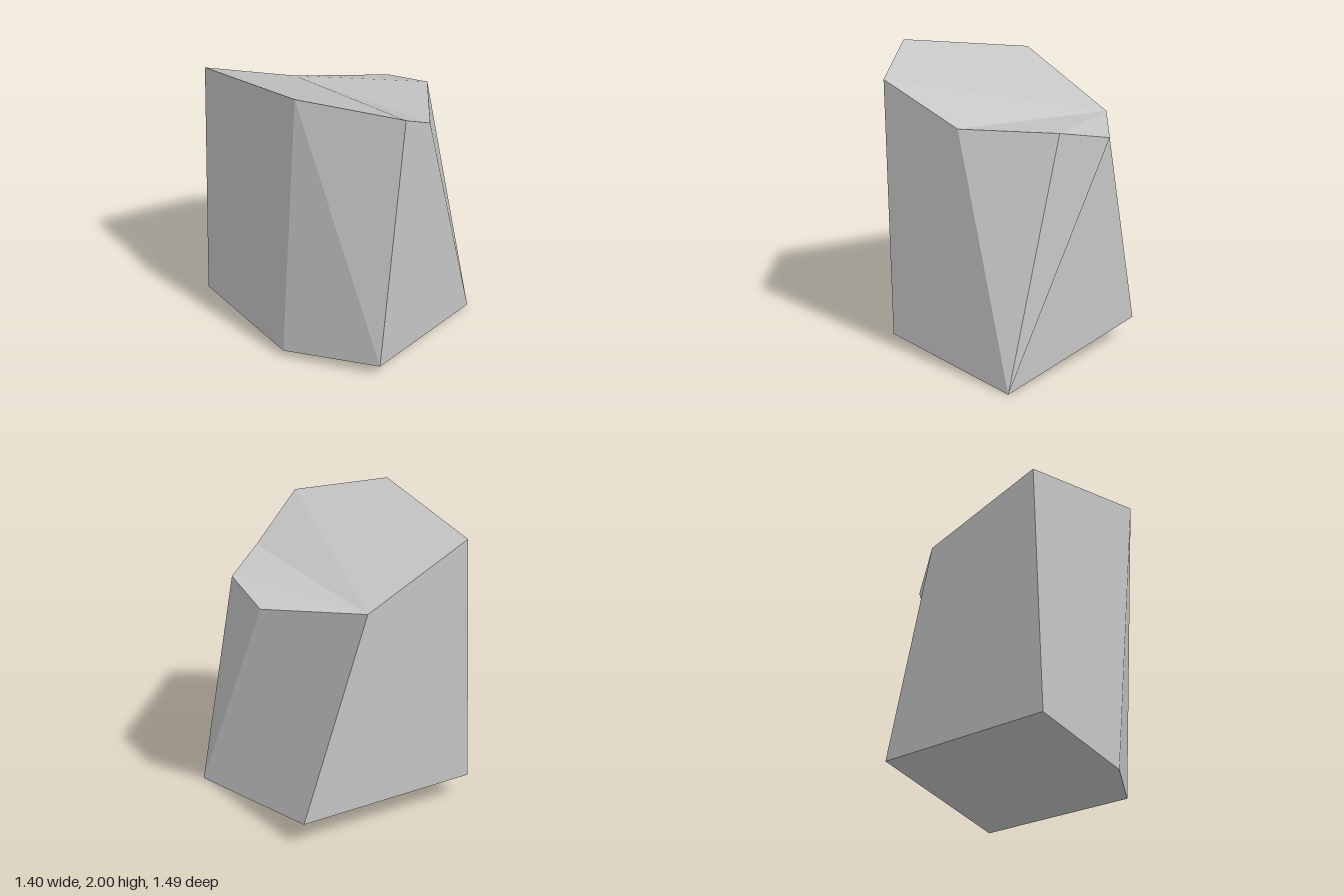
import * as THREE from 'three';

// Corners of the shard: a slanted seven-sided top ring and a five-sided base ring
const corners = {
  A: [-0.70, 2.00, 0.26], B: [-0.275, 1.88, 0.745], C: [0.19, 1.62, 0.54], D: [0.65, 1.61, 0.12],
  E: [0.70, 1.52, -0.27], F: [0.235, 1.52, -0.725], G: [-0.55, 1.84, -0.725],
  P: [-0.37, 0.09, 0.66], Q: [0.665, 0.00, 0.55], R: [0.635, 0.17, -0.615],
  S: [-0.625, 0.175, -0.745], T: [-0.66, 0.055, 0.05],
};

// Flat facets, each listed counter-clockwise from outside
const parts = {
  rockTop: ['GABF', 'FBC', 'FCD', 'FDE'],
  rockSides: ['TPA', 'PBA', 'PQCB', 'QDC', 'QED', 'QRFE', 'RSGF', 'STAG'],
  rockBase: ['SRQT', 'TQP'],
};

// Fans each facet into triangles that share one averaged facet normal
function facetGeometry(facets) {
  const positions = [], normals = [];
  for (const facet of facets) {
    const p = [...facet].map((k) => new THREE.Vector3(...corners[k]));
    const normal = new THREE.Vector3();
    for (let i = 1; i < p.length - 1; i++) {
      normal.add(p[i].clone().sub(p[0]).cross(p[i + 1].clone().sub(p[0])));
    }
    normal.normalize();
    for (let i = 1; i < p.length - 1; i++) {
      for (const v of [p[0], p[i], p[i + 1]]) {
        positions.push(v.x, v.y, v.z);
        normals.push(normal.x, normal.y, normal.z);
      }
    }
  }
  const geometry = new THREE.BufferGeometry();
  geometry.setAttribute('position', new THREE.Float32BufferAttribute(positions, 3));
  geometry.setAttribute('normal', new THREE.Float32BufferAttribute(normals, 3));
  return geometry;
}

export function createModel() {
  const group = new THREE.Group();
  group.name = 'rock';
  const stone = new THREE.MeshStandardMaterial({ color: 0xc4c4c4 });
  stone.name = 'stone grey';
  for (const [name, facets] of Object.entries(parts)) {
    const mesh = new THREE.Mesh(facetGeometry(facets), stone);
    mesh.name = name;
    group.add(mesh);
  }
  return group;
}
